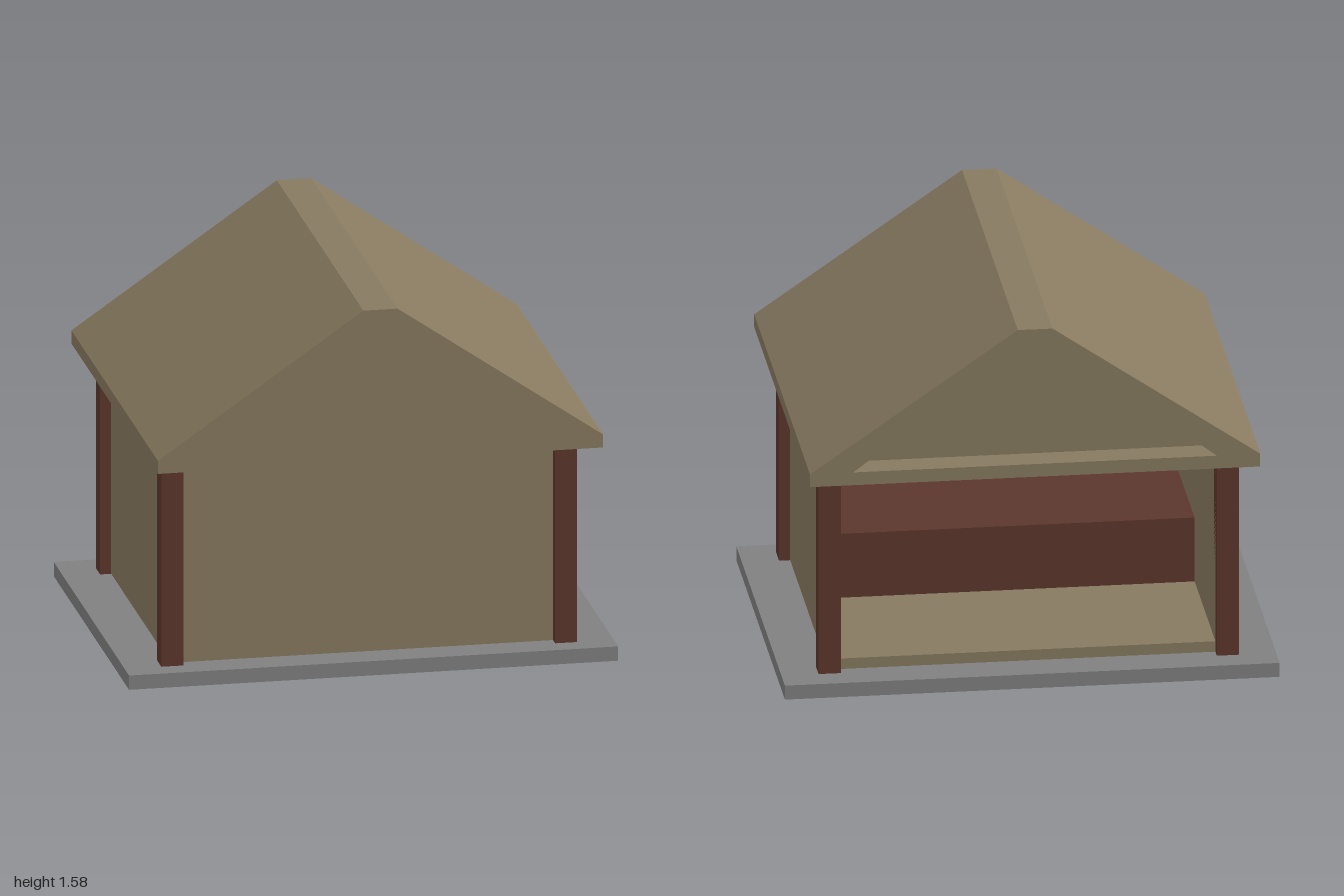
import * as THREE from 'three';

const timber = new THREE.MeshStandardMaterial({ color: 0x877a60, flatShading: true });
const darkWood = new THREE.MeshStandardMaterial({ color: 0x5c372d, flatShading: true });
const stone = new THREE.MeshStandardMaterial({ color: 0x808080, flatShading: true });

export function createModel() {
  const group = new THREE.Group();

  const add = (name, geometry, material) => {
    const mesh = new THREE.Mesh(geometry, material);
    mesh.name = name;
    group.add(mesh);
    return mesh;
  };

  // Box given by its extents on each axis
  const box = (name, [x0, x1], [y0, y1], [z0, z1], material) => {
    const mesh = add(name, new THREE.BoxGeometry(x1 - x0, y1 - y0, z1 - z0), material);
    mesh.position.set((x0 + x1) / 2, (y0 + y1) / 2, (z0 + z1) / 2);
    return mesh;
  };

  // Outline in x and y, mirrored about x = 0 from its right half (listed bottom to top)
  const outline = (half, Type) => {
    const left = half.map(([x, y]) => [-x, y]).reverse();
    return new Type([...half, ...left].map(([x, y]) => new THREE.Vector2(x, y)));
  };

  // Outline, with an optional hole, extruded from z0 to z1
  const prism = (name, half, hole, z0, z1, material) => {
    const shape = outline(half, THREE.Shape);
    if (hole) shape.holes.push(outline(hole, THREE.Path));
    const geometry = new THREE.ExtrudeGeometry(shape, { depth: z1 - z0, bevelEnabled: false });
    return add(name, geometry.translate(0, 0, z0), material);
  };

  // Ground slab
  box('baseSlab', [-1, 1], [0, 0.06], [-0.8, 0.75], stone);

  // Body: floor, side walls and ceiling as one sleeve, closed at the front and open at the back
  prism('bodyShell',
    [[0.805, 0.06], [0.805, 0.95]],
    [[0.76, 0.105], [0.76, 0.905]],
    -0.645, 0.57, timber);
  box('frontWall', [-0.805, 0.805], [0.06, 0.95], [0.57, 0.615], timber);

  // Raised platform in the front half of the room
  box('platform', [-0.76, 0.76], [0.105, 0.38], [0.02, 0.57], darkWood);

  // Corner posts
  for (const x of [-0.805, 0.805]) {
    for (const z of [-0.645, 0.615]) {
      box('cornerPost', [x - 0.045, x + 0.045], [0.06, 0.95], [z - 0.045, z + 0.045], darkWood);
    }
  }

  // Roof with a flat ridge; the back gable is recessed behind a frame
  const roofProfile = [[0.91, 0.945], [0.91, 1.0], [0.07, 1.58]];
  const recess = [[0.735, 1.0], [0.07, 1.505]];
  prism('roof', roofProfile, null, -0.77, 0.89, timber);
  prism('backGableFrame', roofProfile, recess, -0.89, -0.77, timber);

  return group;
}
